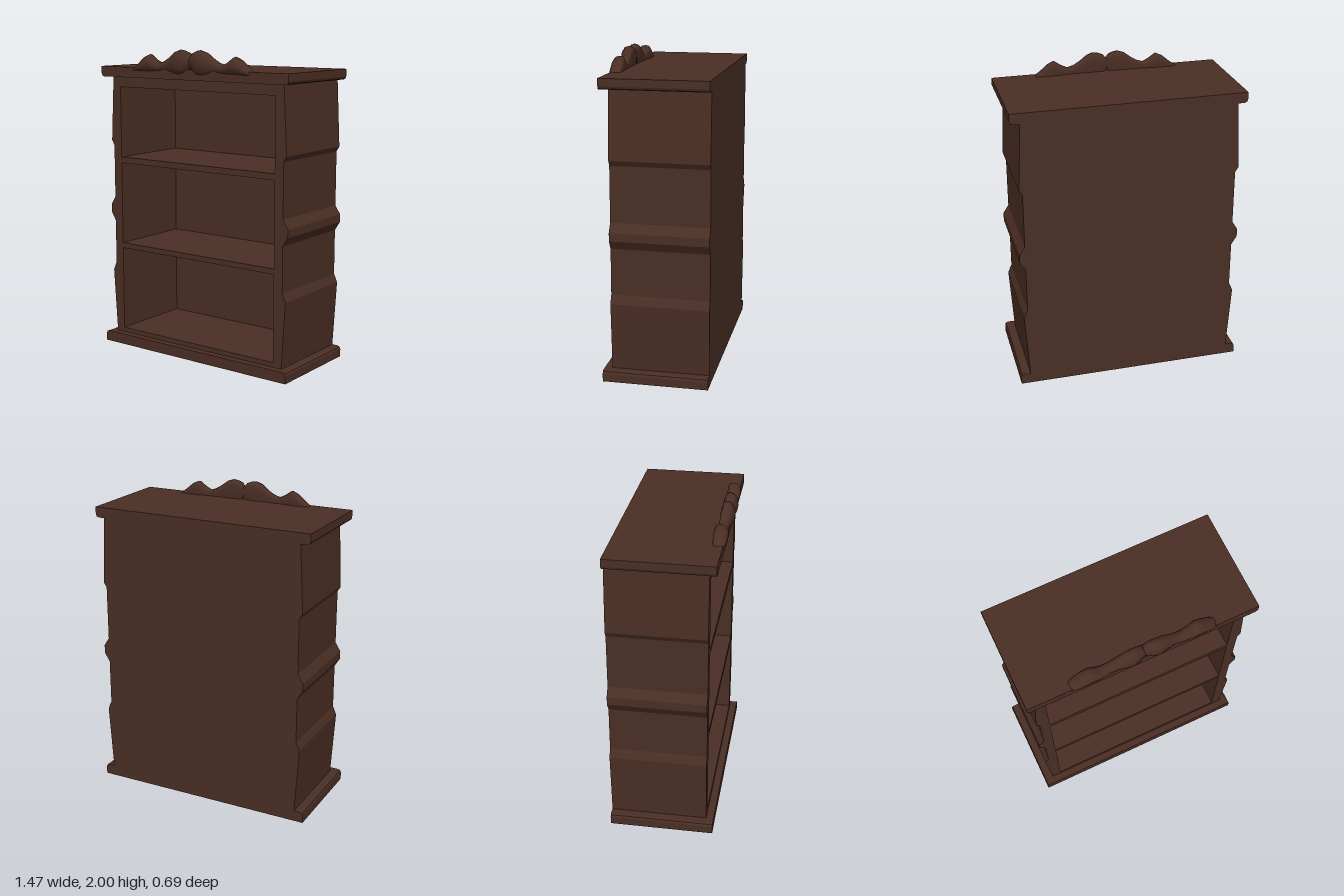
import * as THREE from 'three';

const BACK = -0.345;

// Mirrors a right-hand outline (listed bottom to top) into a closed shape
function mirroredShape(half) {
  const pts = half.map(([x, y]) => new THREE.Vector2(x, y));
  const left = half.map(([x, y]) => new THREE.Vector2(-x, y)).reverse();
  return new THREE.Shape(pts.concat(left));
}

function slab(name, shape, z0, z1, material) {
  const geo = new THREE.ExtrudeGeometry(shape, { depth: z1 - z0, bevelEnabled: false });
  geo.translate(0, 0, z0);
  const mesh = new THREE.Mesh(geo, material);
  mesh.name = name;
  return mesh;
}

// Half of the carved crest, lofted through sections: [x, bottom, top, back, front]
function crestGeometry(side) {
  const sections = [
    [0.0, 1.89, 1.96, 0.262, 0.32],
    [0.02, 1.868, 1.985, 0.26, 0.327],
    [0.05, 1.855, 1.996, 0.26, 0.338],
    [0.08, 1.85, 2.0, 0.26, 0.345],
    [0.12, 1.852, 1.987, 0.26, 0.337],
    [0.17, 1.858, 1.95, 0.26, 0.325],
    [0.21, 1.86, 1.927, 0.26, 0.322],
    [0.25, 1.858, 1.915, 0.258, 0.325],
    [0.29, 1.855, 1.934, 0.254, 0.332],
    [0.335, 1.855, 1.966, 0.25, 0.335],
    [0.375, 1.854, 1.948, 0.25, 0.333],
    [0.42, 1.853, 1.91, 0.25, 0.328],
    [0.47, 1.852, 1.874, 0.26, 0.315],
    [0.49, 1.853, 1.86, 0.275, 0.31],
  ];
  // Ring in (depth, height) fractions
  const ring = [[0, 0.1], [0, 0.75], [0.12, 0.95], [0.4, 1], [0.7, 0.95],
    [0.92, 0.75], [1, 0.48], [0.92, 0.2], [0.7, 0], [0.2, 0]];
  const n = ring.length, pos = [], idx = [];
  const tri = (a, b, c) => (side > 0 ? idx.push(a, b, c) : idx.push(a, c, b));
  for (const [x, b, t, k, f] of sections)
    for (const [u, v] of ring) pos.push(side * x, b + v * (t - b), k + u * (f - k));
  for (let s = 0; s < sections.length - 1; s++)
    for (let i = 0; i < n; i++) {
      const a = s * n + i, b = s * n + (i + 1) % n;
      tri(a, b, a + n);
      tri(b, b + n, a + n);
    }
  // End caps
  const last = (sections.length - 1) * n;
  const capStart = pos.length / 3;
  for (const base of [0, last])
    for (let i = 0; i < n; i++) pos.push(...pos.slice((base + i) * 3, (base + i) * 3 + 3));
  for (let i = 1; i < n - 1; i++) {
    tri(capStart, capStart + i + 1, capStart + i);
    tri(capStart + n, capStart + n + i, capStart + n + i + 1);
  }
  const geo = new THREE.BufferGeometry();
  geo.setAttribute('position', new THREE.Float32BufferAttribute(pos, 3));
  geo.setIndex(idx);
  geo.computeVertexNormals();
  return geo;
}

export function createModel() {
  const group = new THREE.Group();
  group.name = 'bookcase';
  const wood = new THREE.MeshStandardMaterial({ color: 0x4a2e24 });
  wood.name = 'dark brown wood';

  // Carcass outline with the carved bulges on the sides
  const sideProfile = [[0.673, 0.06], [0.7, 0.495], [0.686, 0.53], [0.676, 0.55],
    [0.676, 0.842], [0.711, 0.898], [0.711, 0.95], [0.676, 1.005],
    [0.676, 1.355], [0.696, 1.388], [0.673, 1.82]];

  // Front frame, walls and shelves around three compartments
  const carcass = mirroredShape(sideProfile);
  for (const [y0, y1] of [[0.1, 0.66], [0.695, 1.24], [1.28, 1.745]]) {
    const hole = new THREE.Path();
    hole.moveTo(-0.613, y0).lineTo(-0.613, y1).lineTo(0.613, y1).lineTo(0.613, y0).closePath();
    carcass.holes.push(hole);
  }
  group.add(slab('carcassAndShelves', carcass, -0.3, 0.268, wood));
  group.add(slab('backPanel', mirroredShape(sideProfile), BACK, -0.3, wood));

  // Plinth and top board with eased ends
  group.add(slab('plinth', mirroredShape([[0.735, 0], [0.735, 0.05], [0.729, 0.064], [0.715, 0.07]]),
    BACK, 0.315, wood));
  group.add(slab('topBoard', mirroredShape([[0.715, 1.813], [0.729, 1.819], [0.735, 1.833], [0.735, 1.88]]),
    BACK, 0.315, wood));

  // Carved crest, two mirrored halves
  for (const side of [1, -1]) {
    const half = new THREE.Mesh(crestGeometry(side), wood);
    half.name = side > 0 ? 'crestLeft' : 'crestRight';
    group.add(half);
  }
  return group;
}
